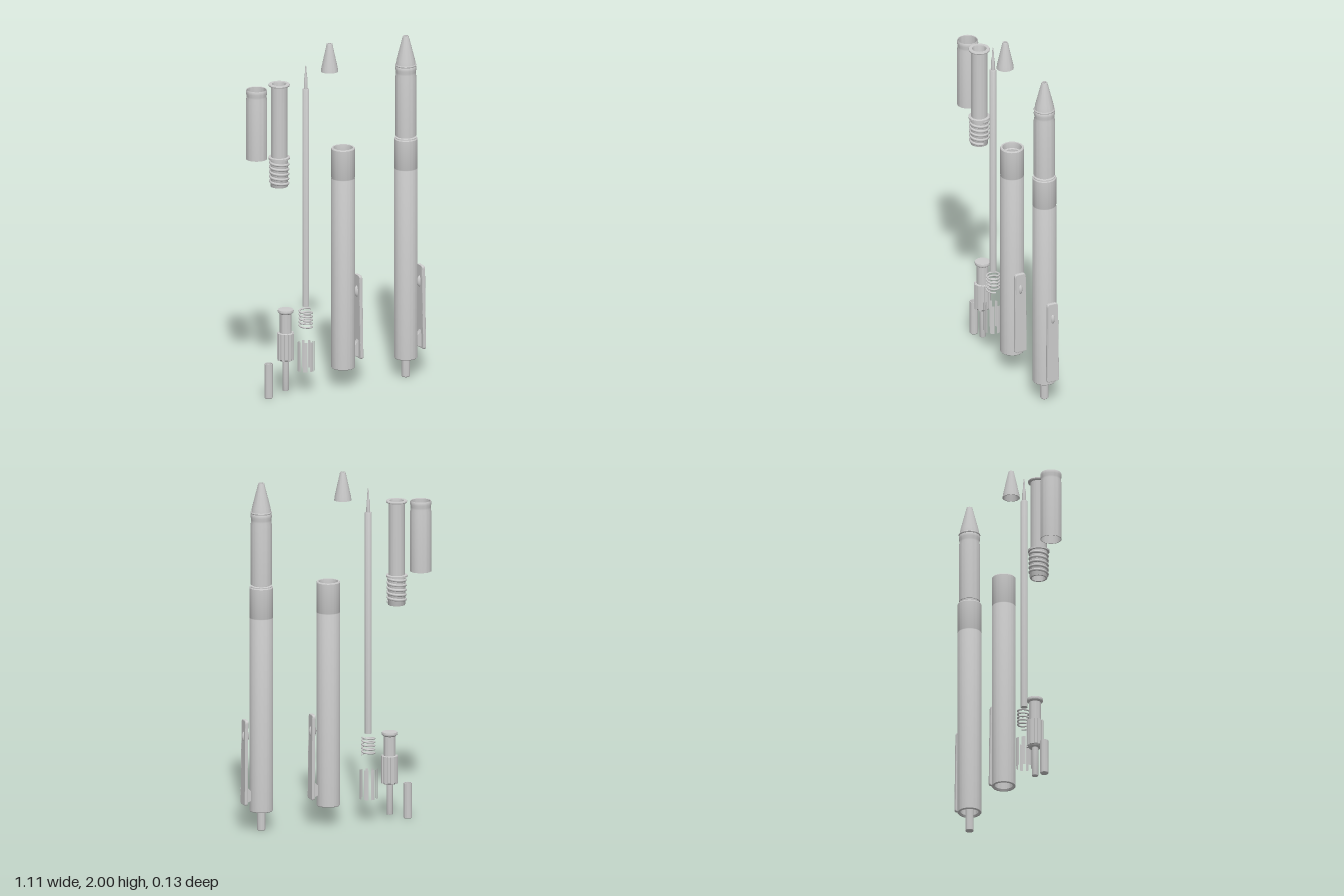
import * as THREE from 'three';
import { toCreasedNormals } from 'three/addons/utils/BufferGeometryUtils.js';

const material = new THREE.MeshStandardMaterial({ color: 0xcccccc });

function part(name, geometry, x = 0, y = 0, z = 0) {
  const mesh = new THREE.Mesh(geometry, material);
  mesh.name = name;
  mesh.position.set(x, y, z);
  return mesh;
}

// Revolved profile of [radius, height] pairs, listed upward on the outside
function turned(name, profile, segments = 48) {
  const points = profile.map(([r, y]) => new THREE.Vector2(r, y));
  return part(name, toCreasedNormals(new THREE.LatheGeometry(points, segments), 0.5));
}

// Round wire wound around the y axis
function helix(name, radius, wire, y0, y1, turns) {
  const points = [];
  const steps = turns * 16;
  for (let i = 0; i <= steps; i++) {
    const a = (i / steps) * turns * Math.PI * 2;
    points.push(new THREE.Vector3(radius * Math.cos(a), y0 + (y1 - y0) * i / steps, radius * Math.sin(a)));
  }
  const path = new THREE.CatmullRomCurve3(points);
  return part(name, new THREE.TubeGeometry(path, steps * 2, wire, 8));
}

function assembly(name, x, ...parts) {
  const group = new THREE.Group();
  group.name = name;
  group.position.x = x;
  group.add(...parts);
  return group;
}

// Pocket clip: rounded plate, curved foot and a gripping bump
function createClip() {
  const plate = new THREE.Shape();
  plate.moveTo(-0.028, 0.155);
  plate.lineTo(0.028, 0.155);
  plate.quadraticCurveTo(0.034, 0.155, 0.034, 0.165);
  plate.lineTo(0.03, 0.615);
  plate.quadraticCurveTo(0.03, 0.632, 0.018, 0.632);
  plate.lineTo(-0.018, 0.632);
  plate.quadraticCurveTo(-0.03, 0.632, -0.03, 0.615);
  plate.lineTo(-0.034, 0.165);
  plate.quadraticCurveTo(-0.034, 0.155, -0.028, 0.155);
  const plateGeometry = new THREE.ExtrudeGeometry(plate, {
    depth: 0.01, bevelThickness: 0.004, bevelSize: 0.003, bevelSegments: 3, curveSegments: 8,
  });
  plateGeometry.rotateY(Math.PI / 2).translate(0.095, 0, 0);
  // Lean the tip of the plate slightly toward the barrel
  const p = plateGeometry.attributes.position;
  for (let i = 0; i < p.count; i++) {
    if (p.getY(i) > 0.59) p.setX(i, p.getX(i) - (p.getY(i) - 0.59) * 0.15);
  }
  plateGeometry.computeVertexNormals();

  const foot = new THREE.Shape();
  foot.moveTo(0.055, 0.175);
  foot.lineTo(0.1, 0.16);
  foot.lineTo(0.1, 0.3);
  foot.quadraticCurveTo(0.094, 0.24, 0.055, 0.225);
  const footGeometry = new THREE.ExtrudeGeometry(foot, { depth: 0.026, bevelEnabled: false });
  footGeometry.translate(0, 0, -0.013);

  const bump = new THREE.SphereGeometry(1, 20, 14);
  bump.scale(0.021, 0.034, 0.014);
  return assembly('clip', 0,
    part('clipPlate', plateGeometry),
    part('clipFoot', footGeometry),
    part('clipBump', bump, 0.092, 0.54));
}

// Rear barrel: hollow, with a faint seam below the mouth
function createBarrel() {
  return [turned('barrel', [
    [0.05, 0.12], [0.056, 0.11], [0.063, 0.11], [0.066, 0.114], [0.066, 1.205], [0.0648, 1.208],
    [0.0648, 1.212], [0.066, 1.215], [0.066, 1.38], [0.063, 1.385], [0.054, 1.385],
    [0.052, 1.37], [0.052, 1.35], [0.048, 1.345], [0.048, 0.2], [0.05, 0.12],
  ], 64), createClip()];
}

// Rubber grip sleeve, thin walled with a shallow neck near the top
function createGrip() {
  return turned('gripSleeve', [
    [0.055, 1.4], [0.059, 1.4], [0.059, 1.74], [0.056, 1.757], [0.056, 1.768], [0.059, 1.783],
    [0.0585, 1.796], [0.056, 1.802], [0.053, 1.8], [0.053, 1.76], [0.055, 1.73], [0.055, 1.4],
  ]);
}

// Threaded insert that carries the grip
function createInsert() {
  return [
    turned('insertTube', [
      [0.038, 1.22], [0.047, 1.22], [0.049, 1.225], [0.049, 1.38], [0.06, 1.38], [0.06, 1.39],
      [0.046, 1.392], [0.046, 1.8], [0.058, 1.803], [0.06, 1.808], [0.058, 1.813],
      [0.04, 1.813], [0.038, 1.805], [0.038, 1.22],
    ]),
    helix('insertThread', 0.049, 0.008, 1.235, 1.372, 5),
  ];
}

// Hollow nose cone
function createNose(y0, y1, r0, r1) {
  return turned('noseCone', [
    [r0 - 0.005, y0], [r0, y0], [r0 * 0.93, y0 + 0.025], [r1 + 0.001, y1 - 0.008], [r1 - 0.001, y1],
    [r1 - 0.006, y1], [r1 - 0.006, y1 - 0.012], [r0 - 0.005, y0],
  ]);
}

function createButton(height) {
  return turned('pushButton', [
    [0, 0], [0.02, 0], [0.023, 0.004], [0.023, height], [0.019, height], [0.019, 0.01], [0, 0.01],
  ], 32);
}

function createRefill() {
  return [
    turned('inkTube', [[0, 0.5], [0.019, 0.5], [0.019, 1.755], [0.017, 1.76], [0.011, 1.76]], 32),
    turned('writingTip', [[0.011, 1.76], [0.01, 1.82], [0.006, 1.835], [0.005, 1.87], [0.002, 1.895], [0, 1.896]], 24),
  ];
}

// Ribbed plunger with a head, neck and stem
function createPlunger() {
  const parts = [turned('plungerBody', [
    [0, 0.03], [0.017, 0.03], [0.018, 0.033], [0.018, 0.2], [0.034, 0.203], [0.042, 0.215],
    [0.042, 0.362], [0.033, 0.365], [0.033, 0.475], [0.043, 0.483], [0.045, 0.49], [0.043, 0.499], [0, 0.5],
  ])];
  for (let i = 0; i < 8; i++) {
    const rib = part('plungerRib', new THREE.BoxGeometry(0.012, 0.155, 0.016).translate(0.041, 0.286, 0));
    rib.rotation.y = (i / 8) * Math.PI * 2;
    parts.push(rib);
  }
  return parts;
}

// Ring of guide strips: outer faces alternate with inner ones
function createGuides() {
  const parts = [];
  for (let i = 0; i < 8; i++) {
    const a = (i / 8) * Math.PI * 2;
    const outer = new THREE.CylinderGeometry(0.051, 0.051, 0.17, 4, 1, true, a, 0.46);
    parts.push(part('outerGuideStrip', outer, 0, 0.215));
    const inner = new THREE.CylinderGeometry(0.043, 0.043, 0.16, 3, 1, true, a + 0.44, 0.36);
    inner.index.array.reverse();
    inner.attributes.normal.array.forEach((n, k, all) => { all[k] = -n; });
    parts.push(part('innerGuideStrip', inner, 0, 0.21));
  }
  return parts;
}

export function createModel() {
  const model = new THREE.Group();
  model.name = 'explodedPen';
  model.add(
    // Separate components
    assembly('looseGrip', -0.496, createGrip()),
    assembly('looseButton', -0.42, createButton(0.2)),
    assembly('looseInsert', -0.354, ...createInsert()),
    assembly('loosePlunger', -0.313, ...createPlunger()),
    assembly('looseRefill', -0.187, ...createRefill()),
    assembly('looseSpring', -0.187, helix('spring', 0.035, 0.005, 0.377, 0.48, 5)),
    assembly('looseGuides', -0.187, ...createGuides()),
    assembly('looseNose', -0.038, createNose(1.84, 2.0, 0.048, 0.016)),
    assembly('looseBarrel', 0.047, ...createBarrel()),
    // Complete pen
    assembly('assembledPen', 0.441,
      ...createBarrel(), createGrip(), ...createInsert(),
      createNose(1.813, 1.975, 0.055, 0.017), createButton(0.2),
      turned('penTipPlug', [[0.014, 1.95], [0.006, 1.965], [0, 1.968]], 24)),
  );
  return model;
}
